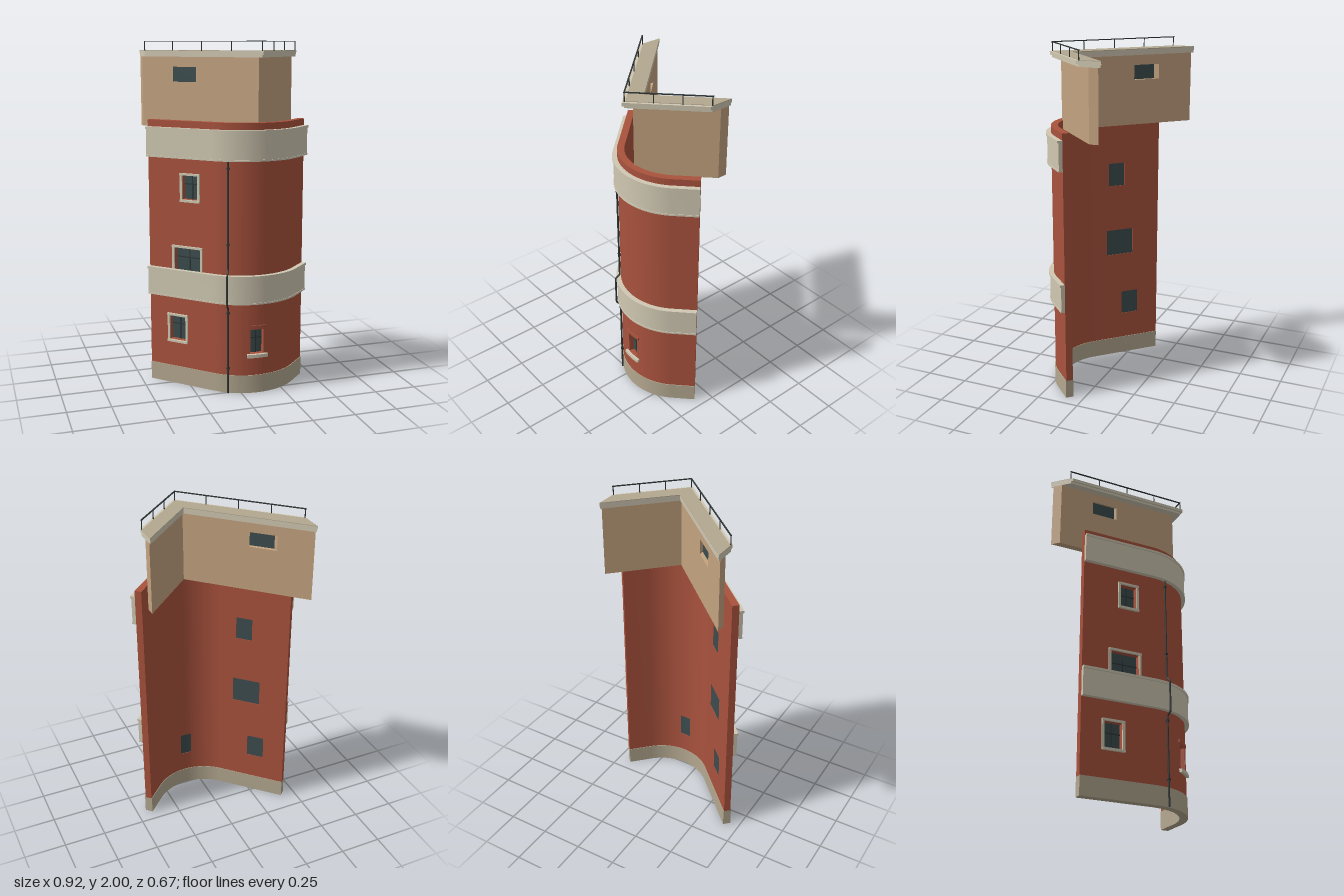
import * as THREE from 'three';
import { toCreasedNormals } from 'three/addons/utils/BufferGeometryUtils.js';

const mat = (name, color, extra = {}) => Object.assign(new THREE.MeshStandardMaterial({ color, ...extra }), { name });

// Plan of the bent wall: straight run, quarter arc, straight run
const R = 0.336, CX = 0.1, CZ = -0.041, L1 = 0.427, ARC = R * Math.PI / 2, L = L1 + ARC + 0.144;
const Q = Math.SQRT1_2;

// Point at distance s along the wall's outer face, moved outwards by d
function at(s, d) {
  const t = THREE.MathUtils.clamp((s - L1) / R, 0, Math.PI / 2) - Math.PI / 4;
  const run = s < L1 ? s - L1 : Math.max(0, s - L1 - ARC);
  return [
    CX + (R + d) * Math.sin(t) + run * Q,
    CZ + (R + d) * Math.cos(t) + run * (s < L1 ? Q : -Q),
  ];
}

// Upright prism over a plan outline of [x, z] points
function prism(points, y0, y1) {
  const shape = new THREE.Shape(points.map(([x, z]) => new THREE.Vector2(x, -z)));
  const g = new THREE.ExtrudeGeometry(shape, { depth: y1 - y0, bevelEnabled: false });
  g.rotateX(-Math.PI / 2).translate(0, y0, 0);
  return toCreasedNormals(g, 0.5);
}

// Slab that follows the wall between s0..s1 and offsets d0..d1
function strip(s0, s1, d0, d1, y0, y1) {
  const stops = [s0];
  for (let i = 0; i <= 40; i++) {
    const s = L1 + ARC * i / 40;
    if (s > s0 + 1e-4 && s < s1 - 1e-4) stops.push(s);
  }
  stops.push(s1);
  return prism([...stops.map(s => at(s, d1)), ...stops.reverse().map(s => at(s, d0))], y0, y1);
}

// V-shaped slab of the top storey between x0..x1, with apex depths outer and inner
function vee(x0, x1, outer, inner, y0, y1) {
  const xs = x0 < CX && x1 > CX ? [x0, CX, x1] : [x0, x1];
  const edge = apex => xs.map(x => [x, apex - Math.abs(x - CX)]);
  return prism([...edge(outer), ...edge(inner).reverse()], y0, y1);
}

export function createModel() {
  const red = mat('brick red', 0xa9523d);
  const cream = mat('cream stone', 0xd0c8b2);
  const stone = mat('grey stone', 0xb3a78f);
  const tan = mat('tan render', 0xc4a380);
  const glass = mat('dark glass', 0x3c4c4e);
  const iron = mat('dark iron', 0x303635);

  const model = new THREE.Group();
  model.name = 'curvedTower';
  const add = (name, geometry, material, parent = model) => {
    const m = new THREE.Mesh(geometry, material);
    m.name = name;
    parent.add(m);
    return m;
  };
  const group = name => {
    const g = new THREE.Group();
    g.name = name;
    model.add(g);
    return g;
  };

  // Window openings: s range, y range
  const windows = [
    { s0: 0.134, s1: 0.24, y0: 0.27, y1: 0.418, framed: true },
    { s0: 0.17, s1: 0.34, y0: 0.672, y1: 0.832, framed: true },
    { s0: 0.226, s1: 0.325, y0: 1.115, y1: 1.255, framed: true },
    { s0: 0.641, s1: 0.721, y0: 0.235, y1: 0.38, framed: false },
  ];

  // Wall in columns, each broken by the openings it crosses
  const wall = group('wall');
  const cuts = [0, L, ...windows.flatMap(w => [w.s0, w.s1])].sort((a, b) => a - b);
  for (let i = 0; i < cuts.length - 1; i++) {
    const mid = (cuts[i] + cuts[i + 1]) / 2;
    const holes = windows.filter(w => w.s0 < mid && w.s1 > mid).sort((a, b) => a.y0 - b.y0);
    let y = 0.105;
    for (const h of [...holes, { y0: 1.56 }]) {
      add('wallPanel', strip(cuts[i], cuts[i + 1], -0.04, 0, y, h.y0), red, wall);
      y = h.y1;
    }
  }
  add('plinth', strip(0, L, -0.043, 0.004, 0, 0.107), stone);

  // Projecting bands with top and bottom mouldings
  for (const [y0, y1] of [[0.535, 0.702], [1.35, 1.522]]) {
    const band = group('band');
    add('bandFace', strip(0, L, 0, 0.022, y0 + 0.01, y1 - 0.014), cream, band);
    add('bandTopMoulding', strip(0, L, 0, 0.028, y1 - 0.014, y1), cream, band);
    add('bandBottomMoulding', strip(0, L, 0, 0.025, y0, y0 + 0.01), cream, band);
  }

  // Panes, glazing bars and surrounds
  for (const { s0, s1, y0, y1, framed } of windows) {
    const win = group('window');
    const mid = s0 + (s1 - s0) * 0.5, bar = y0 + (y1 - y0) * 0.62;
    add('pane', strip(s0, s1, -0.037, -0.031, y0, y1), glass, win);
    add('uprightBar', strip(mid - 0.003, mid + 0.003, -0.031, -0.027, y0, y1), iron, win);
    add('crossBar', strip(s0, s1, -0.031, -0.028, bar - 0.003, bar + 0.003), iron, win);
    if (framed) {
      const f = 0.014;
      add('frameSide', strip(s0 - f, s0, 0, 0.008, y0, y1), cream, win);
      add('frameSide', strip(s1, s1 + f, 0, 0.008, y0, y1), cream, win);
      add('frameHead', strip(s0 - f, s1 + f, 0, 0.012, y1, y1 + 0.012), cream, win);
      add('sill', strip(s0 - f, s1 + f, 0, 0.014, y0 - 0.013, y0), cream, win);
    } else {
      add('lintel', strip(s0 - 0.018, s1 + 0.018, 0, 0.006, y1 + 0.006, y1 + 0.025), red, win);
      add('sill', strip(s0 - 0.02, s1 + 0.02, 0, 0.017, y0 - 0.02, y0), cream, win);
    }
  }

  // Downpipe that steps out around the lower band
  const pipe = group('downpipe');
  const PS = 0.515;
  const spot = (d, y) => { const [x, z] = at(PS, d); return new THREE.Vector3(x, y, z); };
  const route = [[0.009, 0], [0.009, 0.505], [0.034, 0.53], [0.034, 0.708], [0.009, 0.733], [0.009, 1.352]].map(p => spot(...p));
  const path = new THREE.CurvePath();
  for (let i = 1; i < route.length; i++) path.add(new THREE.LineCurve3(route[i - 1], route[i]));
  add('pipe', new THREE.TubeGeometry(path, 150, 0.0055, 8), iron, pipe);
  for (const y of [0.15, 0.48, 0.88, 1.31]) {
    add('pipeBracket', strip(PS - 0.008, PS + 0.008, 0, 0.016, y - 0.005, y + 0.005), iron, pipe);
  }

  // Top storey walls with one window opening
  const X0 = -0.43, X1 = 0.415, WX0 = -0.285, WX1 = -0.175, WY0 = 1.77, WY1 = 1.855;
  const storey = group('topStorey');
  const storeyWall = (x0, x1, y0, y1) => add('topStoreyWall', vee(x0, x1, 0.265, 0.21, y0, y1), tan, storey);
  storeyWall(X0, WX0, 1.51, 1.912);
  storeyWall(WX0, WX1, 1.51, WY0);
  storeyWall(WX0, WX1, WY1, 1.912);
  storeyWall(WX1, X1, 1.51, 1.912);
  add('topStoreyPane', vee(WX0, WX1, 0.25, 0.24, WY0, WY1), glass, storey);

  // Stepped roof slab
  const roof = group('roof');
  add('roofLowerStep', vee(X0, X1, 0.322, 0.197, 1.912, 1.926), cream, roof);
  add('roofUpperStep', vee(X0, X1, 0.335, 0.193, 1.926, 1.945), cream, roof);
  add('roofSurface', vee(X0, X1, 0.314, 0.193, 1.945, 1.948), stone, roof);

  // Railing along the outer roof edge
  const railing = group('railing');
  add('handrail', vee(X0, X1, 0.323, 0.313, 1.995, 2), iron, railing);
  const post = new THREE.CylinderGeometry(0.003, 0.003, 0.052, 8);
  const addPost = x => add('railPost', post, iron, railing).position.set(x, 1.971, 0.318 - Math.abs(x - CX));
  for (let i = 0; i < 4; i++) addPost(X0 + 0.003 + (CX - X0 - 0.003) * i / 4);
  for (let i = 0; i <= 3; i++) addPost(CX + (X1 - 0.003 - CX) * i / 3);

  return model;
}
